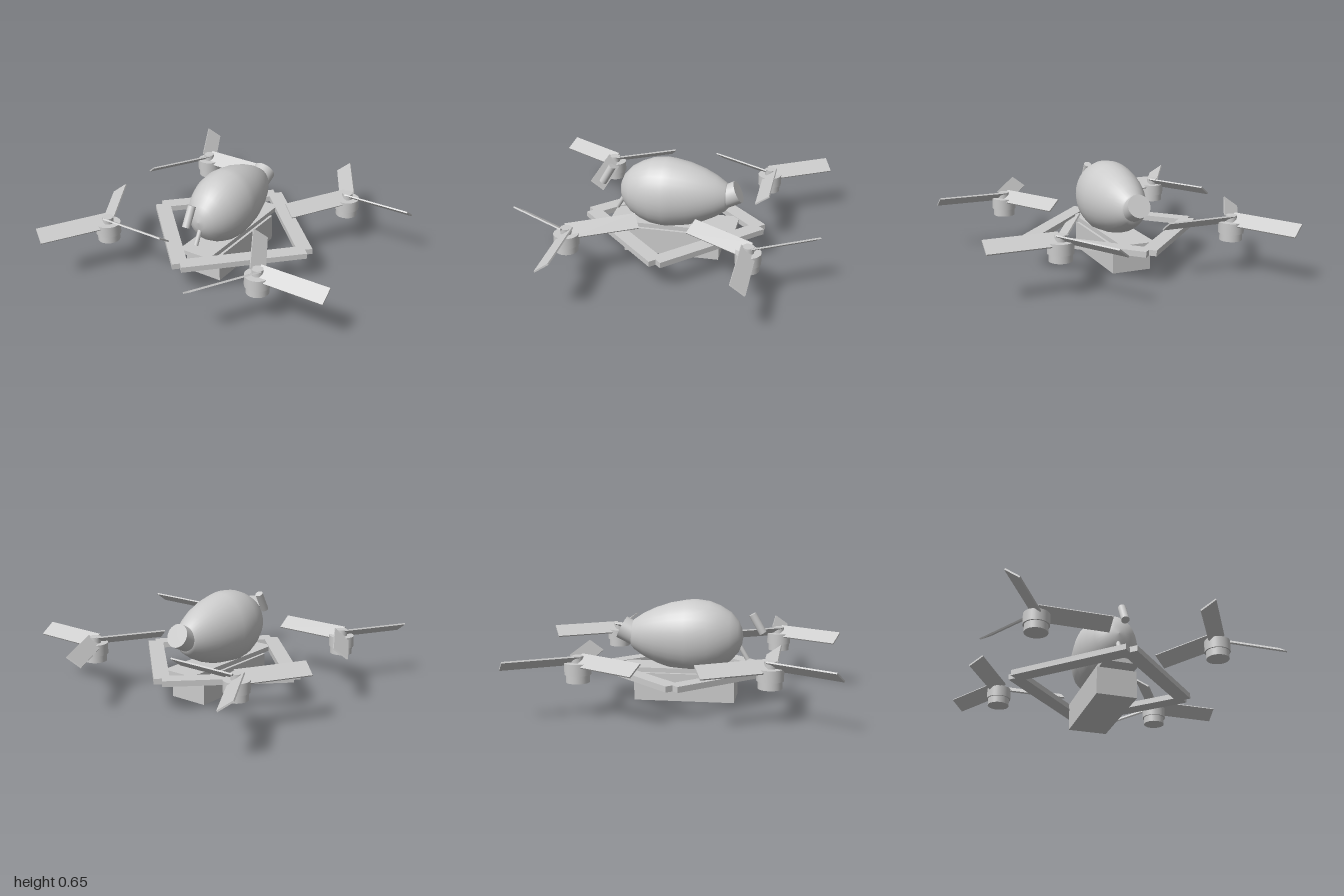
import * as THREE from 'three';

const CX = -0.095; // centre line of the airframe
const MAT = new THREE.MeshStandardMaterial({ color: 0xcccccc });

function add(parent, name, geometry, x = 0, y = 0, z = 0) {
  const mesh = new THREE.Mesh(geometry, MAT);
  mesh.name = name;
  mesh.position.set(x, y, z);
  parent.add(mesh);
  return mesh;
}

// Cylinder between two points of the centre plane, given as [y, z]
function rod(parent, name, a, b, radius, sides) {
  const from = new THREE.Vector3(CX, ...a);
  const to = new THREE.Vector3(CX, ...b);
  const dir = to.clone().sub(from);
  const mesh = add(parent, name, new THREE.CylinderGeometry(radius, radius, dir.length(), sides));
  mesh.position.copy(from).lerp(to, 0.5);
  mesh.quaternion.setFromUnitVectors(new THREE.Vector3(0, 1, 0), dir.normalize());
  return mesh;
}

// Egg-shaped body, lathed along z from tail to nose
function bodyGeometry() {
  const profile = [
    [0, -0.38], [0.06, -0.37], [0.085, -0.345], [0.122, -0.28], [0.155, -0.2],
    [0.184, -0.1], [0.2, 0], [0.205, 0.06], [0.195, 0.15], [0.172, 0.22],
    [0.136, 0.29], [0.088, 0.34], [0.045, 0.362], [0, 0.37],
  ].map(([r, z]) => new THREE.Vector2(r, z));
  const geometry = new THREE.LatheGeometry(profile, 32);
  geometry.rotateX(Math.PI / 2);
  geometry.scale(1, 1.17, 1);
  return geometry;
}

// Motor with three pitched blades; spin sets the pitch direction
function rotor(spin) {
  const group = new THREE.Group();
  add(group, 'motorBase', new THREE.CylinderGeometry(0.072, 0.072, 0.05, 32), 0, 0.243, 0);
  add(group, 'motorBell', new THREE.CylinderGeometry(0.081, 0.081, 0.072, 32), 0, 0.302, 0);
  add(group, 'hub', new THREE.CylinderGeometry(0.036, 0.036, 0.045, 24), 0, 0.355, 0);
  for (let i = 0; i < 3; i++) {
    const arm = new THREE.Group();
    arm.name = 'bladeArm';
    arm.rotation.y = (i * Math.PI * 2) / 3;
    const blade = add(arm, 'blade', new THREE.BoxGeometry(0.46, 0.01, 0.11), 0.23, 0.35, 0);
    blade.rotation.x = spin * 0.61;
    group.add(arm);
  }
  return group;
}

export function createModel() {
  const model = new THREE.Group();
  model.name = 'quadcopter';

  // Diamond frame of four beams
  const frame = new THREE.Group();
  frame.name = 'frame';
  frame.position.set(CX, 0.197, 0);
  for (let i = 0; i < 4; i++) {
    const side = new THREE.Group();
    side.name = 'frameSide';
    side.rotation.y = Math.PI / 4 + (i * Math.PI) / 2;
    add(side, 'frameBeam', new THREE.BoxGeometry(0.813, 0.037, 0.1), 0, 0, 0.4066);
    frame.add(side);
  }
  model.add(frame);

  // Centre plate and the battery beneath it
  add(model, 'centrePlate', new THREE.BoxGeometry(0.23, 0.03, 0.85), CX, 0.197, 0);
  add(model, 'batteryBox', new THREE.BoxGeometry(0.26, 0.18, 0.65), CX, 0.09, 0);

  // Body, tail tube and nose rods
  add(model, 'body', bodyGeometry(), CX, 0.41, 0);
  rod(model, 'tailTube', [0.38, -0.278], [0.455, -0.428], 0.076, 32);
  rod(model, 'noseCylinder', [0.559, 0.428], [0.438, 0.497], 0.026, 20);
  rod(model, 'nosePin', [0.355, 0.346], [0.262, 0.4], 0.015, 16);

  // Four rotors, neighbours pitched in opposite directions
  for (const sx of [-1, 1]) {
    for (const sz of [-1, 1]) {
      const unit = rotor(sx * sz);
      unit.name = (sz > 0 ? 'front' : 'rear') + (sx > 0 ? 'Left' : 'Right') + 'Rotor';
      unit.position.set(CX + sx * 0.575, 0, sz * 0.575);
      model.add(unit);
    }
  }
  return model;
}
